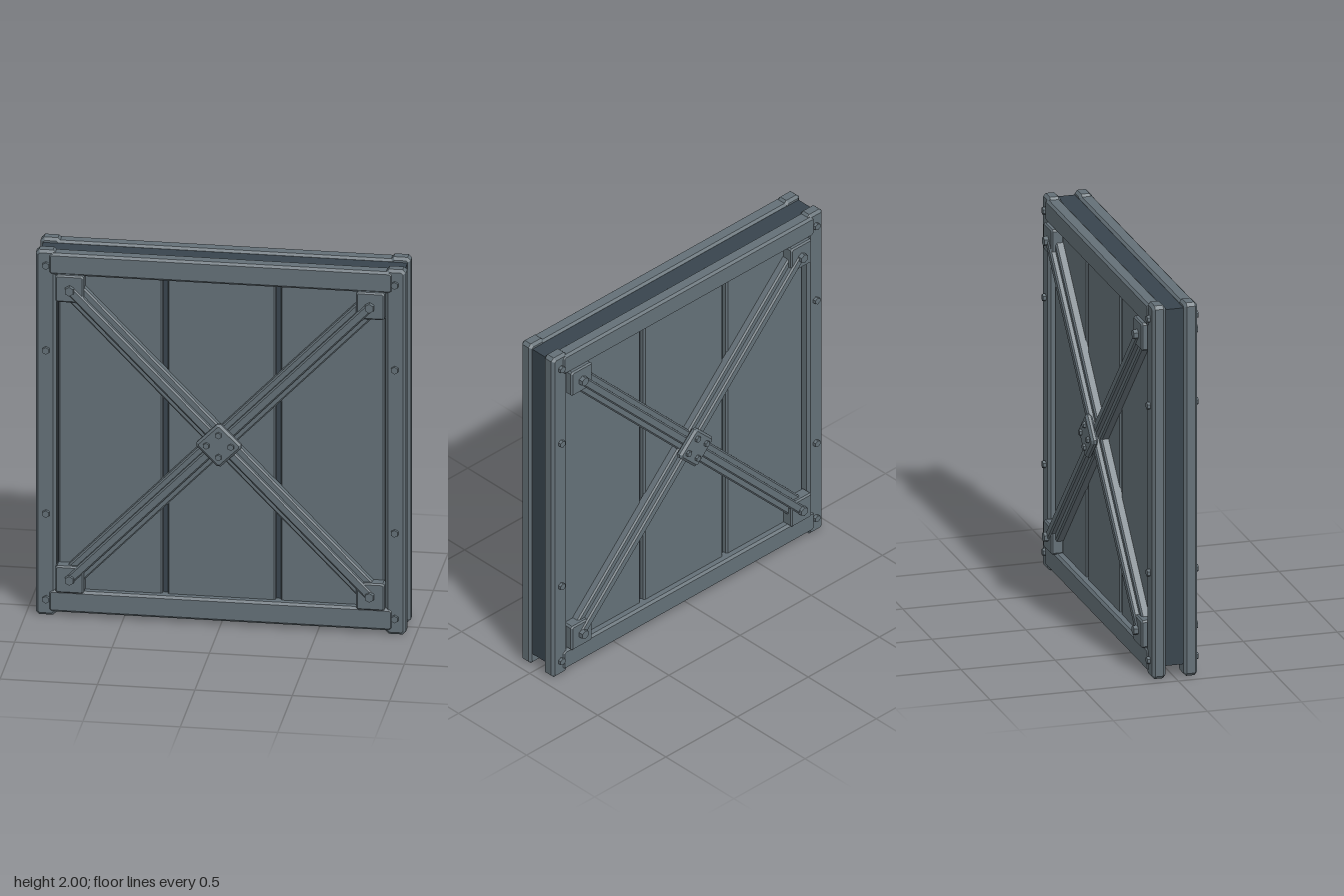
import * as THREE from 'three';

const steel = new THREE.MeshStandardMaterial({ color: 0x647077 });
steel.name = 'grey steel';
const dark = new THREE.MeshStandardMaterial({ color: 0x38444d });
dark.name = 'dark core';

function add(parent, name, geometry, material = steel) {
  const mesh = new THREE.Mesh(geometry, material);
  mesh.name = name;
  parent.add(mesh);
  return mesh;
}

// Box between two corners with every edge chamfered by c
function chamferBox(x0, x1, y0, y1, z0, z1, c = 0.012) {
  const w = (x1 - x0) / 2 - c, h = (y1 - y0) / 2 - c, k = c * 0.6;
  const shape = new THREE.Shape([
    [-w, -h + k], [-w + k, -h], [w - k, -h], [w, -h + k],
    [w, h - k], [w - k, h], [-w + k, h], [-w, h - k],
  ].map(([x, y]) => new THREE.Vector2(x, y)));
  const g = new THREE.ExtrudeGeometry(shape, {
    depth: z1 - z0 - 2 * c, bevelEnabled: true, bevelThickness: c, bevelSize: c, bevelSegments: 1,
  });
  return g.translate((x0 + x1) / 2, (y0 + y1) / 2, z0 + c);
}

// Hexagonal bolt head pointing along +z
function bolt(parent, x, y, z0, z1, r) {
  const g = new THREE.CylinderGeometry(r * 0.92, r, z1 - z0, 6).toNonIndexed();
  g.computeVertexNormals();
  g.rotateX(Math.PI / 2).translate(x, y, (z0 + z1) / 2);
  add(parent, 'bolt', g);
}

// Cross-section (across, outward) extruded along a centred y axis
function bar(points, length) {
  const shape = new THREE.Shape(points.map(([x, y]) => new THREE.Vector2(x, y)));
  return new THREE.ExtrudeGeometry(shape, { depth: length, bevelEnabled: false })
    .rotateX(Math.PI / 2).translate(0, length / 2, 0);
}

function createFace() {
  const face = new THREE.Group();
  const midY = 1.008, boltX = 0.77, boltDY = 0.793;

  // Three infill panels separated by narrow grooves
  for (const [a, b] of [[-0.837, -0.303], [-0.277, 0.277], [0.303, 0.837]])
    add(face, 'panel', chamferBox(a, b, 0.1, 1.9, 0.04, 0.085, 0.008));

  // Posts and rails
  for (const s of [-1, 1]) {
    add(face, 'post', chamferBox(s * 0.8975 - 0.0525, s * 0.8975 + 0.0525, 0, 2, 0.048, 0.12, 0.014));
    for (const y of [0.09, 0.56, 1.455, 1.92]) bolt(face, s * 0.895, y, 0.11, 0.136, 0.021);
  }
  add(face, 'bottomRail', chamferBox(-0.885, 0.885, 0.022, 0.142, 0.05, 0.126));
  add(face, 'topRail', chamferBox(-0.885, 0.885, 1.87, 1.988, 0.05, 0.126));

  // Diagonal braces: wide flange with a raised rib
  const length = 2 * Math.hypot(boltX, boltDY);
  for (const s of [-1, 1]) {
    const brace = new THREE.Group();
    brace.name = 'diagonalBrace';
    brace.position.y = midY;
    brace.rotation.z = s * Math.atan2(boltX, boltDY);
    face.add(brace);
    add(brace, 'flange', bar([[-0.056, 0.08], [0.056, 0.08], [0.056, 0.118], [0.048, 0.126],
      [-0.048, 0.126], [-0.056, 0.118]], length - 0.08));
    add(brace, 'rib', bar([[-0.024, 0.12], [0.024, 0.12], [0.024, 0.146], [0.016, 0.154],
      [-0.016, 0.154], [-0.024, 0.146]], length));
  }

  // Corner gussets
  for (const sx of [-1, 1]) for (const sy of [-1, 1]) {
    const x = sx * 0.772, y = midY + sy * 0.797;
    add(face, 'gusset', chamferBox(x - 0.073, x + 0.073, y - 0.074, y + 0.074, 0.08, 0.147, 0.008));
    bolt(face, sx * boltX, midY + sy * boltDY, 0.14, 0.17, 0.027);
  }

  // Centre plate, turned to a diamond
  const plate = add(face, 'centrePlate', chamferBox(-0.088, 0.088, -0.088, 0.088, 0.148, 0.186, 0.012));
  plate.position.y = midY;
  plate.rotation.z = Math.PI / 4;
  for (const [x, y] of [[0.063, 0], [-0.063, 0], [0, 0.06], [0, -0.06]])
    bolt(face, x, midY + y, 0.18, 0.199, 0.018);
  return face;
}

export function createModel() {
  const model = new THREE.Group();
  model.name = 'bracedWallPanel';

  // Recessed core between the two faces
  add(model, 'core', new THREE.BoxGeometry(1.87, 1.91, 0.11).translate(0, 1.02, 0), dark);

  const front = createFace();
  front.name = 'frontFace';
  const back = createFace();
  back.name = 'backFace';
  back.rotation.y = Math.PI;
  model.add(front, back);
  return model;
}
